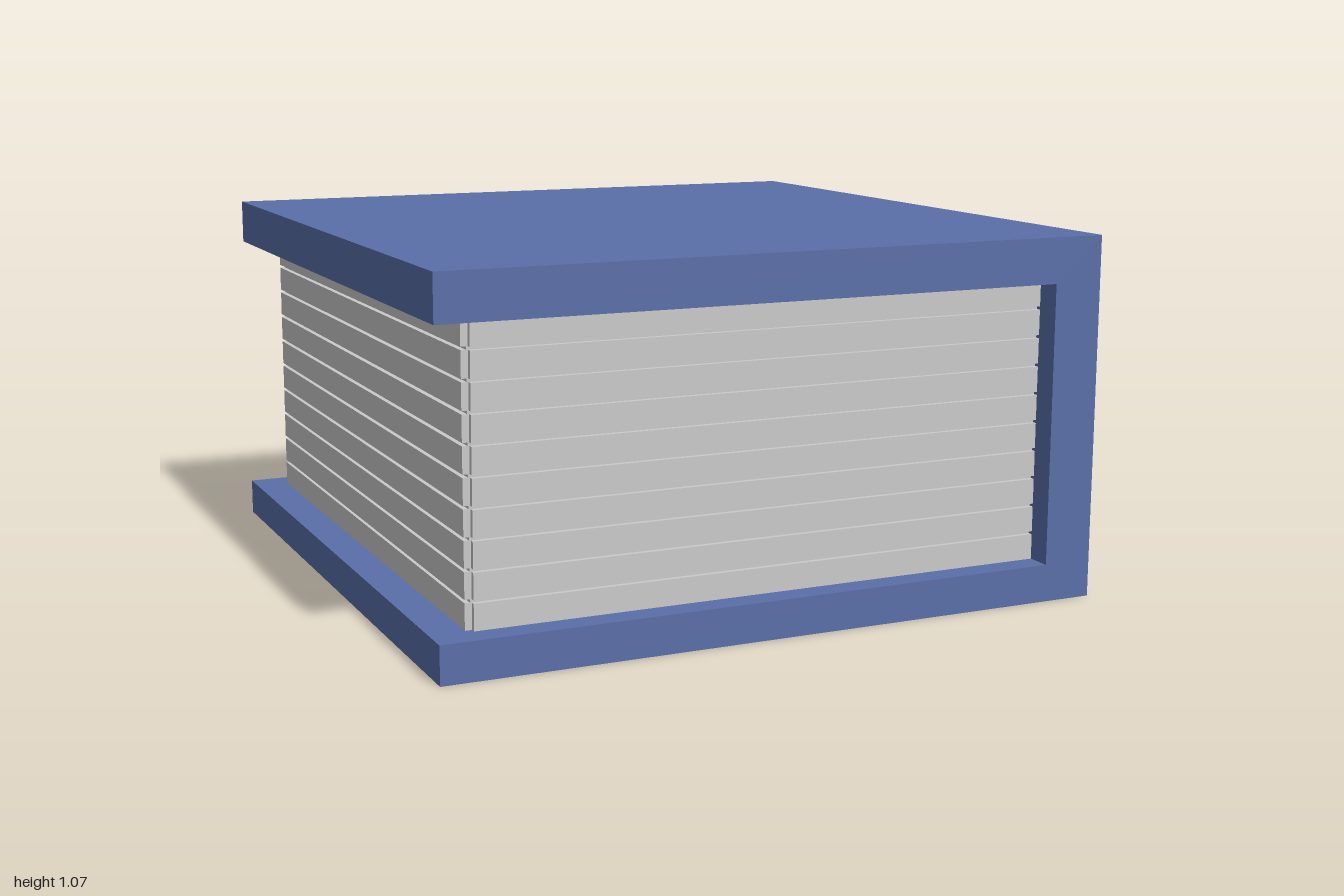
import * as THREE from 'three';

export function createModel() {
  const book = new THREE.Group();
  book.name = 'book';
  const coverBlue = new THREE.MeshStandardMaterial({ color: 0x5a6fa8 });
  coverBlue.name = 'coverBlue';
  const paperGrey = new THREE.MeshStandardMaterial({ color: 0xcacaca });
  paperGrey.name = 'paperGrey';

  // Box given by its minimum and maximum corners
  function box(name, material, min, max, parent = book) {
    const size = max.map((v, i) => v - min[i]);
    const mesh = new THREE.Mesh(new THREE.BoxGeometry(...size), material);
    mesh.position.set(...max.map((v, i) => (v + min[i]) / 2));
    mesh.name = name;
    parent.add(mesh);
  }

  const bottom = 0.11, top = 0.932, height = 1.065, spineX = 0.85;

  // Cover: one C-shaped section covering both boards and the spine
  const section = new THREE.Shape([
    [-1, 0], [1, 0], [1, height], [-1, height],
    [-1, top], [spineX, top], [spineX, bottom], [-1, bottom],
  ].map(([x, y]) => new THREE.Vector2(x, y)));
  const coverGeometry = new THREE.ExtrudeGeometry(section, { depth: 2, bevelEnabled: false });
  coverGeometry.translate(0, 0, -1);
  const cover = new THREE.Mesh(coverGeometry, coverBlue);
  cover.name = 'cover';
  book.add(cover);

  // Page block
  const edgeX = -0.885, edgeZ = 0.91;
  box('pageBlock', paperGrey, [edgeX, bottom, -edgeZ], [spineX, top, edgeZ]);

  // Raised page bundles on the three open edges, with thin grooves between
  const bundles = new THREE.Group();
  bundles.name = 'pageBundles';
  book.add(bundles);
  const count = 10, gap = 0.009, pitch = (top - bottom + gap) / count;
  for (let i = 0; i < count; i++) {
    const y0 = bottom + i * pitch, y1 = y0 + pitch - gap;
    box('frontPages', paperGrey, [-0.88, y0, edgeZ], [spineX, y1, 0.925], bundles);
    box('backPages', paperGrey, [-0.88, y0, -0.925], [spineX, y1, -edgeZ], bundles);
    box('foreEdgePages', paperGrey, [-0.9, y0, -edgeZ], [edgeX, y1, edgeZ], bundles);
  }
  return book;
}
